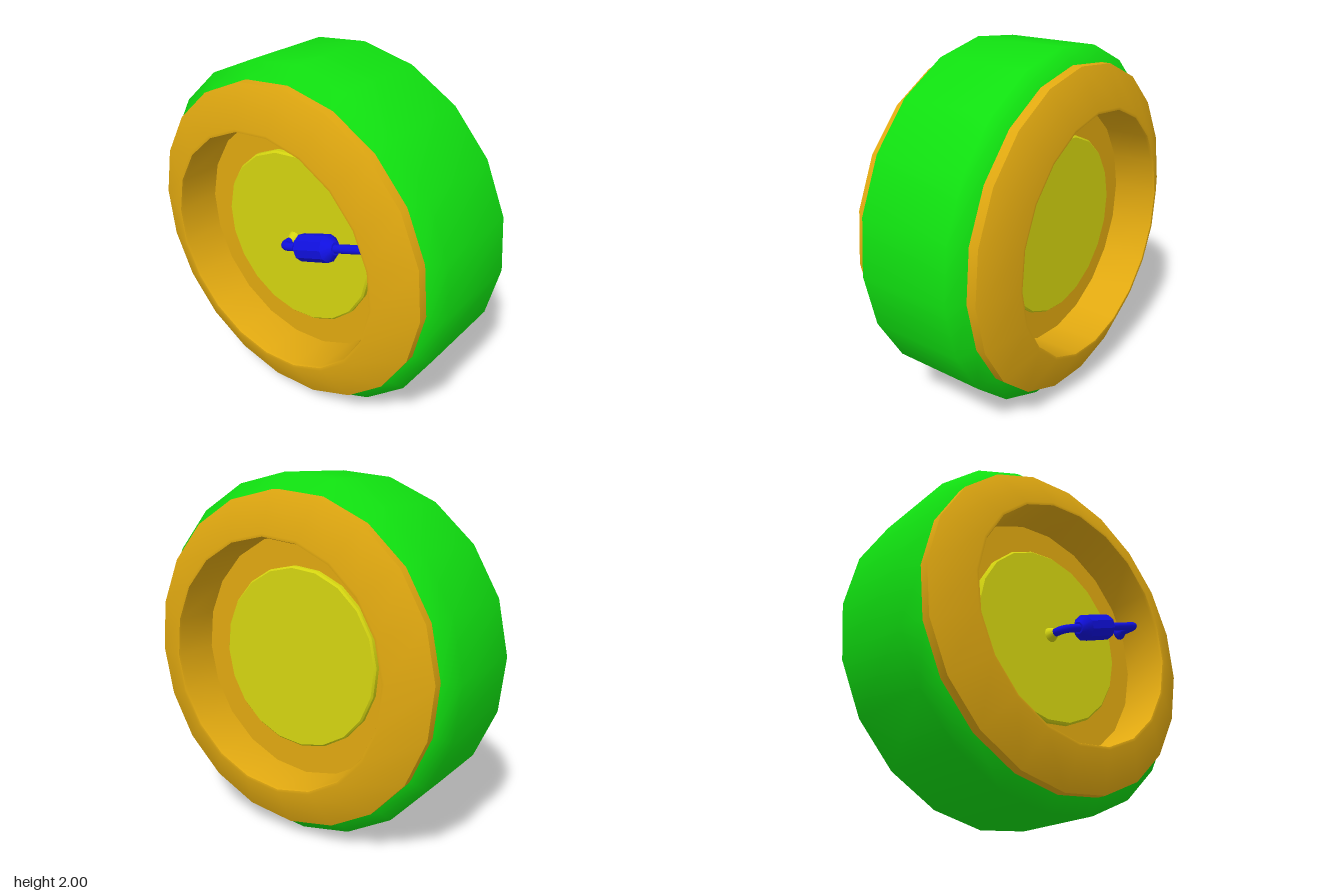
import * as THREE from 'three';
import { toCreasedNormals } from 'three/addons/utils/BufferGeometryUtils.js';

const SIDES = 20;
const PHASE = THREE.MathUtils.degToRad(3);
const mat = (color) => new THREE.MeshStandardMaterial({ color });
const green = mat(0x10e010), orange = mat(0xe0a810), yellow = mat(0xd4d410), blue = mat(0x1010e0);

// Turns a profile of [radius, x] pairs around the x axis
function turned(name, profile, material, crease, sides = SIDES) {
  let geo = new THREE.LatheGeometry(profile.map(([r, x]) => new THREE.Vector2(r, x)), sides, PHASE);
  geo.rotateZ(-Math.PI / 2);
  if (crease) geo = toCreasedNormals(geo, crease);
  const mesh = new THREE.Mesh(geo, material);
  mesh.name = name;
  return mesh;
}

// Completes the left half of a profile with its mirror image
const mirrored = (half) => half.slice().reverse().map(([r, x]) => [r, -x]).concat(half);

export function createModel() {
  const model = new THREE.Group();
  model.name = 'wheel';
  const wheel = new THREE.Group();
  wheel.name = 'wheelAssembly';
  wheel.position.y = 1;
  model.add(wheel);

  // Tyre band with chamfered shoulders
  wheel.add(turned('tyre', mirrored([[1, 0.27], [0.91, 0.335]]), green));

  // Rim with sloping faces and a recess on each side
  wheel.add(turned('rim', mirrored([
    [0.915, 0.33], [0.915, 0.385], [0.7, 0.485], [0.685, 0.483], [0.68, 0.47], [0.68, 0.22], [0, 0.22],
  ]), orange, 0.6));

  // Hub plates on the recess floors
  const plate = [[0.51, 0.2], [0.51, 0.245], [0.5, 0.255], [0, 0.255]];
  wheel.add(turned('leftHubPlate', plate, yellow, 0.6));
  wheel.add(turned('rightHubPlate', plate.slice().reverse().map(([r, x]) => [r, -x]), yellow, 0.6));

  // Small boss where the handle meets the hub
  wheel.add(turned('hubBoss', [[0, -0.3], [0.025, -0.295], [0.045, -0.25]], yellow, 0.6, 12));

  // Cranked handle in the right-hand recess: rod, grip and foot
  const handle = new THREE.Group();
  handle.name = 'handle';
  wheel.add(handle);
  const rodX = -0.36;
  const start = new THREE.Vector3(rodX, 0, 0);
  const end = new THREE.Vector3(rodX, 0.22, 0.61);
  const along = end.clone().sub(start).normalize();
  const bend = (corner, sx, sd) => new THREE.QuadraticBezierCurve3(
    corner.clone().add(new THREE.Vector3(sx, 0, 0)), corner, corner.clone().addScaledVector(along, sd));
  const inner = bend(start, 0.05, 0.07);
  const outer = bend(end, 0.04, -0.04);
  const path = new THREE.CurvePath();
  path.add(new THREE.LineCurve3(new THREE.Vector3(-0.28, 0, 0), inner.v0));
  path.add(inner);
  path.add(new THREE.LineCurve3(inner.v2, outer.v2));
  path.add(new THREE.QuadraticBezierCurve3(outer.v2, outer.v1, outer.v0));
  path.add(new THREE.LineCurve3(outer.v0, new THREE.Vector3(-0.22, 0.22, 0.61)));
  const rod = new THREE.Mesh(new THREE.TubeGeometry(path, 60, 0.024, 10), blue);
  rod.name = 'handleRod';
  handle.add(rod);

  const grip = turned('handleGrip', [
    [0, -0.14], [0.035, -0.14], [0.075, -0.095], [0.075, 0.095], [0.035, 0.14], [0, 0.14],
  ], blue, 0.6, 10);
  grip.position.lerpVectors(start, end, 0.4);
  grip.quaternion.setFromUnitVectors(new THREE.Vector3(1, 0, 0), along);
  handle.add(grip);

  const foot = turned('handleFoot', [[0.022, -0.265], [0.042, -0.235], [0.042, -0.218]], blue, 0.6, 12);
  foot.position.set(0, 0.22, 0.61);
  handle.add(foot);

  return model;
}
